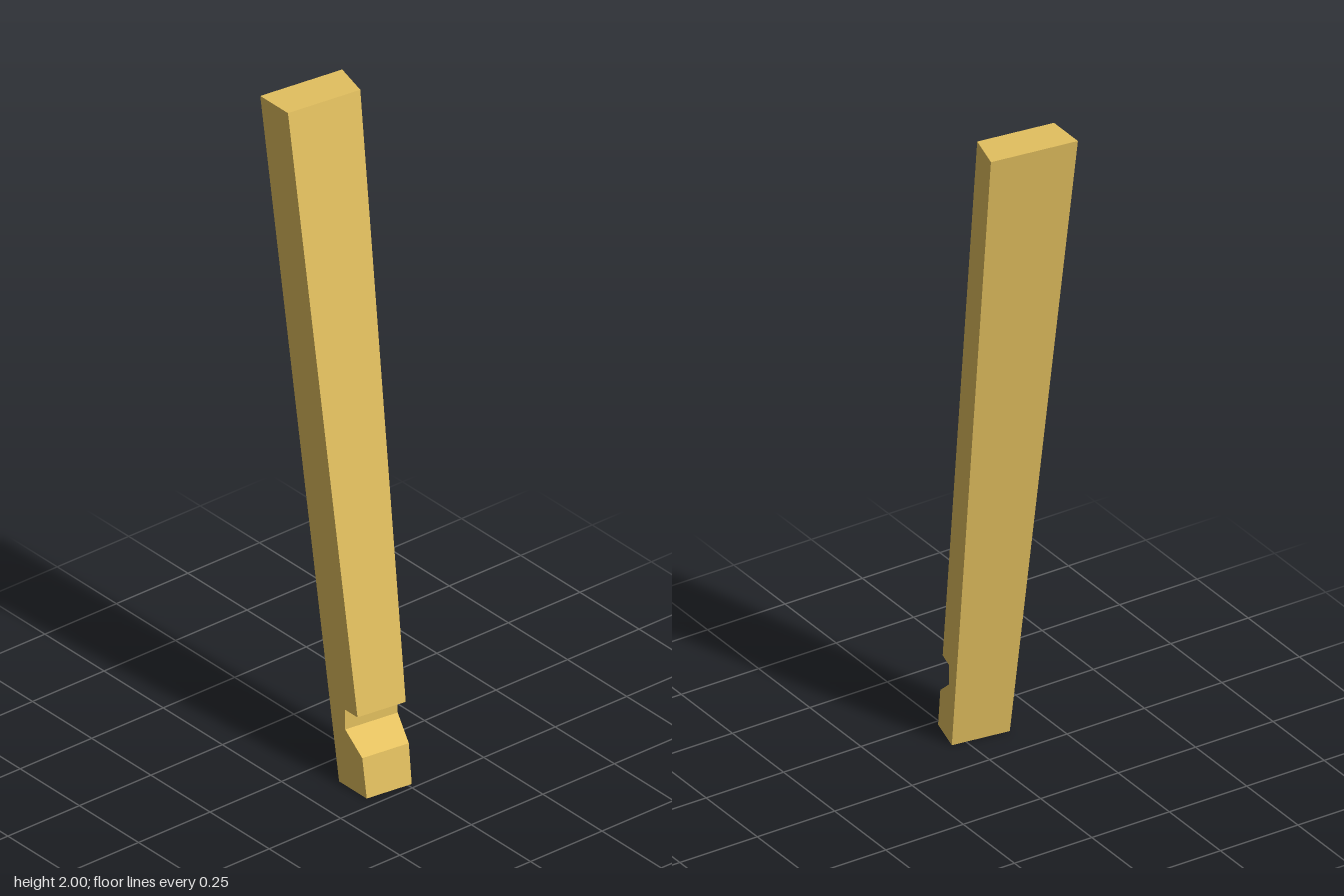
import * as THREE from 'three';

const LEFT_X = -0.13; // flat upright side
const SKEW = 0.132;   // drift of the front and back faces in z per unit of x

// Side profile at the flat side as [z, y], with the notch near the foot
const profile = [
  [0.215, 0], [0.098, 0], [-0.235, 2], [-0.118, 2],
  [0.176, 0.237], [0.124, 0.237], [0.124, 0.175], [0.196, 0.118],
];

// x where the profile, swept along the skew, meets the angled upright side x = 0.0745 - 0.268 z
const bevelX = z => (0.0745 - 0.268 * (z + SKEW * -LEFT_X)) / (1 + 0.268 * SKEW);

export function createModel() {
  const group = new THREE.Group();
  group.name = 'notchedPost';

  const shape = new THREE.Shape(profile.map(([z, y]) => new THREE.Vector2(-z, y)));
  const geometry = new THREE.ExtrudeGeometry(shape, { depth: 1, steps: 1, bevelEnabled: false });
  geometry.rotateY(Math.PI / 2);

  // Sweep each point from the flat side to the angled side
  const p = geometry.attributes.position;
  for (let i = 0; i < p.count; i++) {
    const z = p.getZ(i);
    const x = p.getX(i) > 0.5 ? bevelX(z) : LEFT_X;
    p.setX(i, x);
    p.setZ(i, z + SKEW * (x - LEFT_X));
  }
  geometry.computeVertexNormals();

  const material = new THREE.MeshStandardMaterial({ color: 0xe3c05f, flatShading: true });
  const post = new THREE.Mesh(geometry, material);
  post.name = 'post';
  group.add(post);
  return group;
}
